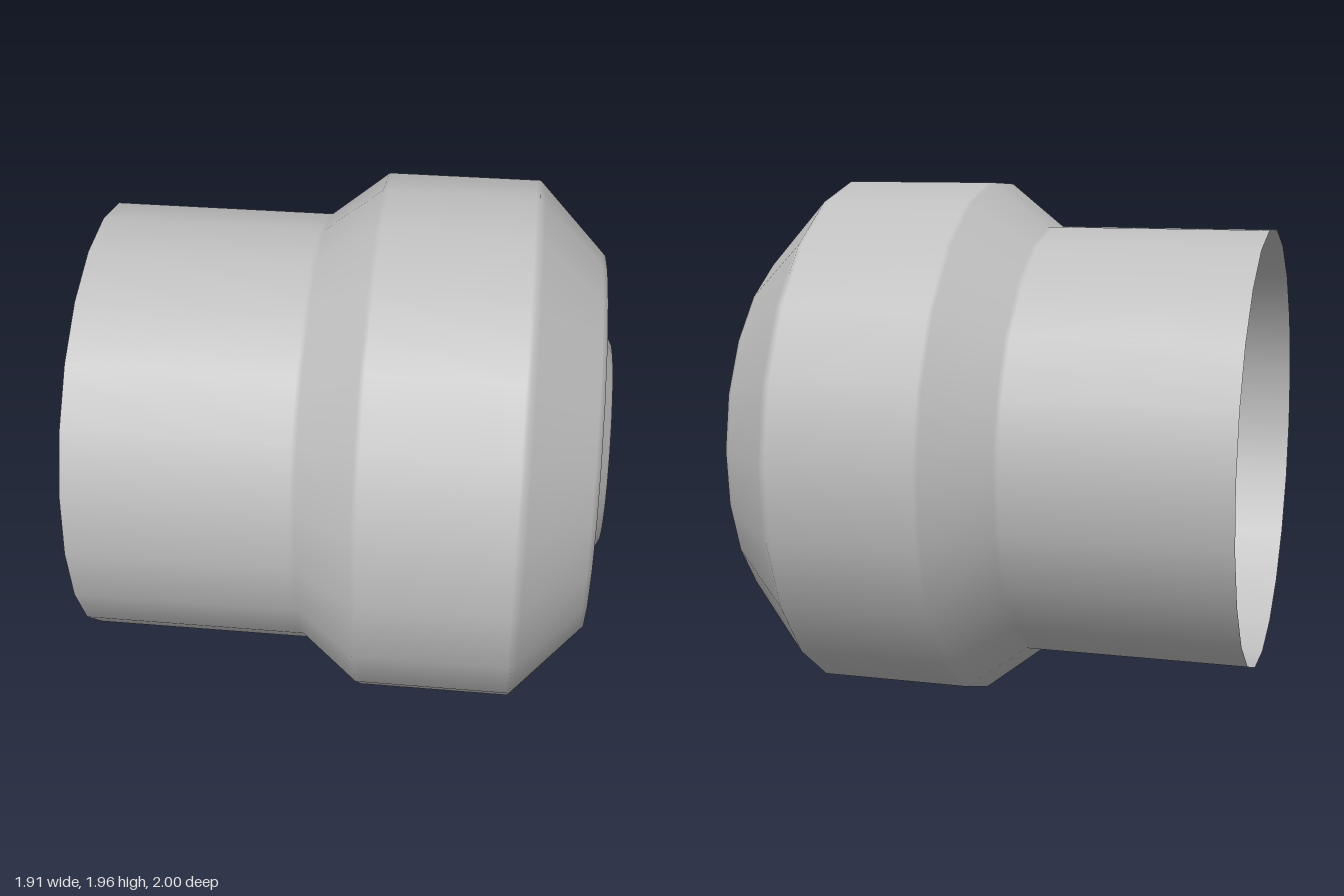
import * as THREE from 'three';

const SIDES = 22;
const STEP = (Math.PI * 2) / SIDES;
const OFFSET = THREE.MathUtils.degToRad(2.76); // angle of the first corner
const CENTRE_Y = 0.982;
const FACE = 0.904; // x of the front face
const FLOOR = 0.83; // x of the recess floors

const metal = new THREE.MeshStandardMaterial({ color: 0xbfbfbf, side: THREE.DoubleSide });
metal.name = 'grey';

// Turn a profile of [x, radius] points around the x axis, over some of the sides
function turned(name, profile, first = 0, count = SIDES) {
  const points = profile.map(([x, r]) => new THREE.Vector2(r, x));
  const geometry = new THREE.LatheGeometry(points, count, Math.PI + OFFSET + first * STEP, count * STEP);
  geometry.normalizeNormals();
  geometry.rotateZ(-Math.PI / 2);
  geometry.scale(1, 0.985, 1);
  geometry.translate(0, CENTRE_Y, 0);
  const mesh = new THREE.Mesh(geometry, metal);
  mesh.name = name;
  return mesh;
}

// Flat radial wall closing one end of a slot
function slotEnd(index) {
  const a = OFFSET + index * STEP;
  const corner = (x, r) => [x, CENTRE_Y + 0.985 * r * Math.sin(a), -r * Math.cos(a)];
  const geometry = new THREE.BufferGeometry();
  geometry.setAttribute('position', new THREE.Float32BufferAttribute([
    corner(FACE, 0.556), corner(FACE, 0.67), corner(FLOOR, 0.67), corner(FLOOR, 0.556),
  ].flat(), 3));
  geometry.setIndex([0, 1, 2, 0, 2, 3]);
  geometry.computeVertexNormals();
  const mesh = new THREE.Mesh(geometry, metal);
  mesh.name = 'slotEnd';
  return mesh;
}

export function createModel() {
  const group = new THREE.Group();
  group.name = 'cap';

  // Open sleeve flaring into the wider head, with softened edges
  group.add(turned('shell', [
    [-0.956, 0.834], [-0.15, 0.834], [-0.13, 0.834], [0.08, 1], [0.1, 1],
    [0.63, 1], [0.645, 1], [0.665, 0.979], [0.885, 0.748], [FACE, 0.728],
    [FACE, 0.7], [FACE, 0.67],
  ]));

  // Front face between the slots and the groove
  group.add(turned('innerRim', [[FACE, 0.556], [FACE, 0.512]]));

  // Two opposite curved slots, five sides long, and the solid face between them
  for (const start of [2, 13]) {
    group.add(
      turned('slotOuterWall', [[FACE, 0.67], [FLOOR, 0.67]], start, 5),
      turned('slotFloor', [[FLOOR, 0.67], [FLOOR, 0.556]], start, 5),
      turned('slotInnerWall', [[FLOOR, 0.556], [FACE, 0.556]], start, 5),
      slotEnd(start),
      slotEnd(start + 5),
      turned('faceBetweenSlots', [[FACE, 0.67], [FACE, 0.556]], start + 5, 6),
    );
  }

  // Narrow groove around the button
  group.add(
    turned('grooveWall', [[FACE, 0.512], [FLOOR, 0.512]]),
    turned('grooveFloor', [[FLOOR, 0.512], [FLOOR, 0.475]]),
    turned('buttonSide', [[FLOOR, 0.475], [FACE, 0.475]]),
  );

  // Raised centre button with a bevelled edge
  group.add(turned('button', [
    [FACE, 0.475], [0.945, 0.397], [0.952, 0.383], [0.952, 0.36], [0.952, 0],
  ]));

  return group;
}
